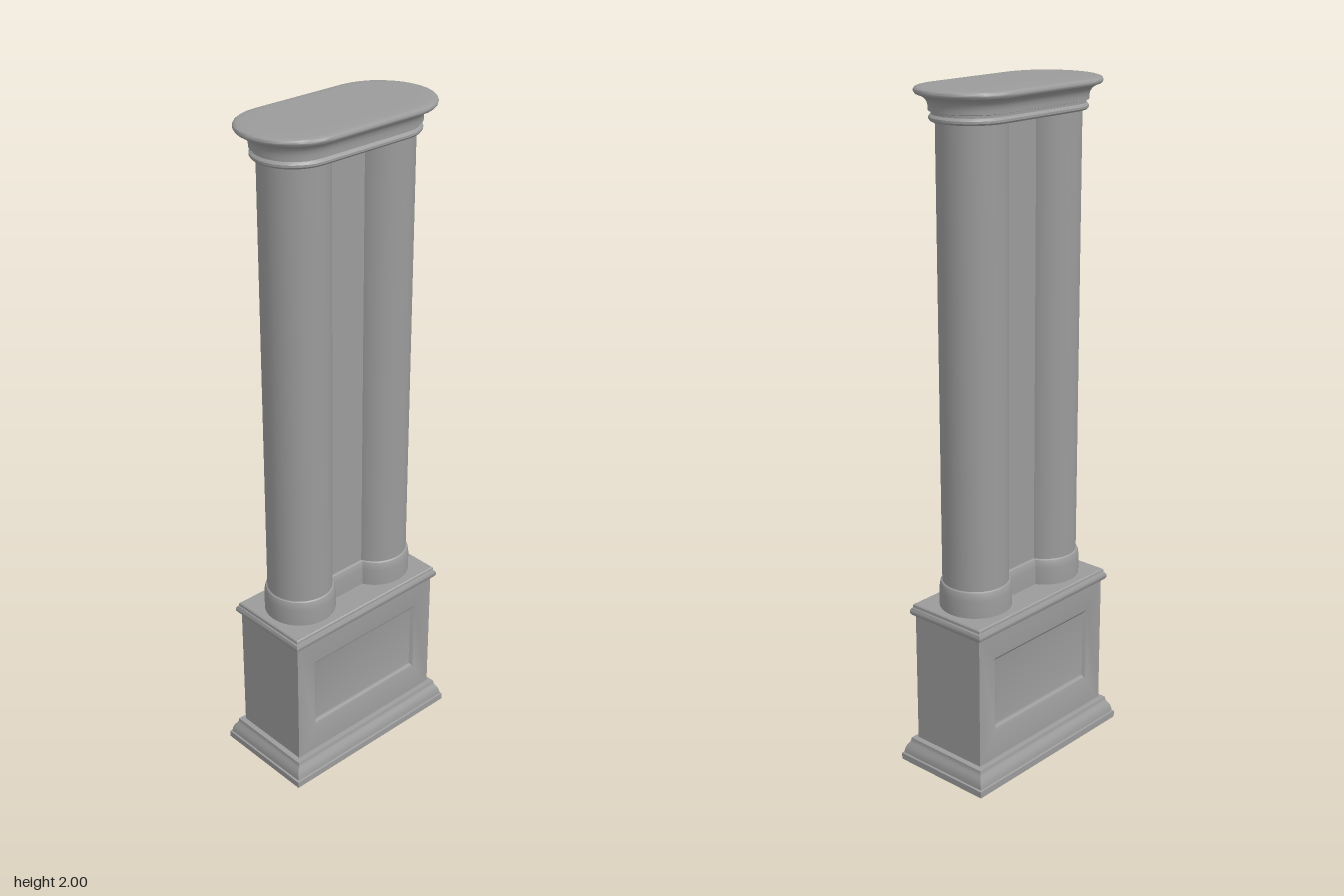
import * as THREE from 'three';
import { toCreasedNormals } from 'three/addons/utils/BufferGeometryUtils.js';

const material = new THREE.MeshStandardMaterial({ color: 0x9b9b9b });

function part(name, geometry, x = 0, y = 0, z = 0) {
  const mesh = new THREE.Mesh(geometry, material);
  mesh.name = name;
  mesh.position.set(x, y, z);
  return mesh;
}

// Skin a stack of convex rings (counter-clockwise seen from the last ring) and cap both ends.
function loft(rings) {
  const n = rings[0].length;
  const last = (rings.length - 1) * n;
  const index = [];
  for (let i = 0; i < rings.length - 1; i++) {
    for (let j = 0; j < n; j++) {
      const a = i * n + j, b = i * n + (j + 1) % n;
      index.push(a, b, b + n, a, b + n, a + n);
    }
  }
  for (let j = 1; j < n - 1; j++) {
    index.push(0, j + 1, j, last, last + j, last + j + 1);
  }
  const geometry = new THREE.BufferGeometry();
  geometry.setAttribute('position', new THREE.Float32BufferAttribute(rings.flat(2), 3));
  geometry.setIndex(index);
  return toCreasedNormals(geometry, 0.6);
}

// Horizontal rectangle at height y
const rectRing = (hx, hz, y) => [[hx, y, hz], [hx, y, -hz], [-hx, y, -hz], [-hx, y, hz]];

// Upright rectangle at depth z
const faceRing = (hx, y0, y1, z) => [[-hx, y0, z], [hx, y0, z], [hx, y1, z], [-hx, y1, z]];

const COLUMN_X = 0.152;

// Horizontal round-ended outline of radius r around both column axes
function stadiumRing(r, y, segments = 16) {
  const ring = [];
  for (const side of [1, -1]) {
    for (let i = 0; i <= segments; i++) {
      const a = -Math.PI / 2 + Math.PI * i / segments;
      ring.push([side * (COLUMN_X + r * Math.cos(a)), y, -side * r * Math.sin(a)]);
    }
  }
  return ring;
}

const BODY_X = 0.275, BODY_Z = 0.126;

// Mitred moulding around the pedestal, profile as [projection, height]
const moulding = (profile) =>
  loft(profile.map(([o, y]) => rectRing(BODY_X + o, BODY_Z + o, y)));

// Rings of a softly sunken panel on the front (side 1) or back (side -1), from rim to floor
function panelRings(side, steps = 6) {
  const rings = [];
  for (let i = 0; i <= steps; i++) {
    const t = i / steps;
    const depth = 0.01 * t * t * (3 - 2 * t);
    rings.push(faceRing(0.21 - 0.014 * t, 0.163 + 0.02 * t, 0.402 - 0.014 * t, side * (BODY_Z - depth)));
  }
  return rings;
}

export function createModel() {
  const model = new THREE.Group();
  model.name = 'twinColumnPedestal';

  // Pedestal: stepped foot, body with sunken panels front and back, cap
  model.add(part('pedestalFoot', moulding([
    [0.036, 0], [0.036, 0.02], [0.031, 0.022], [0.03, 0.032], [0.027, 0.043],
    [0.022, 0.052], [0.018, 0.058], [0.016, 0.064], [0.015, 0.072], [0, 0.074],
  ])));

  const body = [BODY_X, 0.06, 0.49];
  model.add(part('pedestalBody', loft([
    ...panelRings(-1).reverse(), faceRing(...body, -BODY_Z),
    faceRing(...body, BODY_Z), ...panelRings(1),
  ])));

  model.add(part('pedestalCap', moulding([
    [0, 0.48], [0.008, 0.482], [0.012, 0.488], [0.012, 0.498], [0.008, 0.504],
    [0.005, 0.505], [0.005, 0.514], [0.002, 0.517],
  ])));

  // Twin columns, each on a round base with a softened shoulder
  const shaft = new THREE.CylinderGeometry(0.097, 0.097, 1.36, 32, 1, true);
  const base = toCreasedNormals(new THREE.LatheGeometry([
    [0.106, 0.51], [0.106, 0.57], [0.104, 0.585], [0.101, 0.594], [0.095, 0.598],
  ].map(([r, y]) => new THREE.Vector2(r, y)), 32), 0.6);
  for (const [side, x] of [['left', COLUMN_X], ['right', -COLUMN_X]]) {
    model.add(part(side + 'ColumnShaft', shaft, x, 1.25));
    model.add(part(side + 'ColumnBase', base, x));
  }

  // Recessed web joining the columns
  model.add(part('web', new THREE.BoxGeometry(2 * COLUMN_X, 1.42, 0.074), 0, 1.22));
  model.add(part('webBase', loft([
    [0.048, 0.51], [0.048, 0.57], [0.046, 0.585], [0.043, 0.594], [0.036, 0.598],
  ].map(([hz, y]) => rectRing(COLUMN_X, hz, y)))));

  // Round-ended capital: bead, neck, flaring cove, thin lip and gently domed top
  model.add(part('capital', loft([
    [0.095, 1.91], [0.11, 1.911], [0.114, 1.916], [0.114, 1.922], [0.11, 1.927],
    [0.107, 1.929], [0.107, 1.936], [0.115, 1.938], [0.115, 1.948], [0.117, 1.958],
    [0.122, 1.967], [0.13, 1.974], [0.14, 1.979], [0.149, 1.982], [0.152, 1.986],
    [0.153, 1.99], [0.152, 1.994], [0.149, 1.997], [0.144, 1.9985], [0.13, 1.9995], [0.1, 2],
  ].map(([r, y]) => stadiumRing(r, y)))));

  return model;
}
